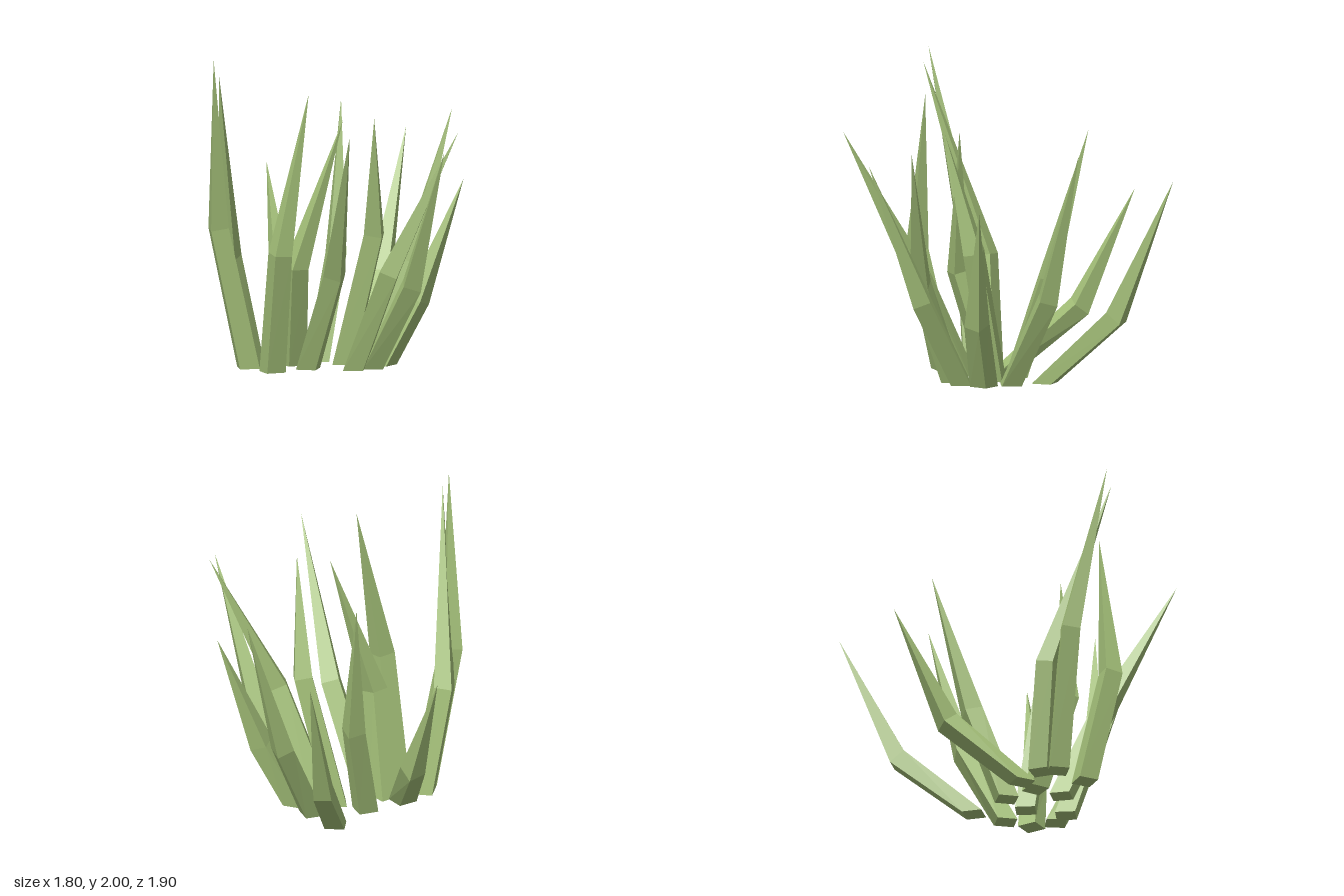
import * as THREE from 'three';

// each blade: base [x, z], bend [x, y, z], tip [x, y, z], turn in degrees
const BLADES = [
  [[-0.33, -0.18], [-0.12, 0.42, -0.60], [-0.07, 1.16, -0.95], 0],
  [[0.23, -0.25], [0.57, 0.45, -0.61], [0.86, 1.34, -0.89], 40],
  [[-0.06, -0.16], [0.13, 0.65, -0.31], [0.26, 1.60, -0.53], 13],
  [[0.25, -0.02], [0.57, 0.58, -0.16], [0.90, 1.54, -0.25], 14],
  [[0.25, 0.16], [0.44, 0.42, 0.27], [0.72, 1.18, 0.35], 56],
  [[0.00, 0.28], [0.13, 0.64, 0.54], [0.52, 1.54, 0.73], 30],
  [[0.13, 0.27], [0.27, 0.56, 0.58], [0.33, 1.45, 0.95], 20],
  [[-0.25, 0.13], [-0.20, 0.63, 0.43], [-0.30, 1.58, 0.91], 37],
  [[-0.51, 0.17], [-0.53, 0.77, 0.34], [-0.34, 1.78, 0.35], 0],
  [[-0.27, -0.06], [-0.33, 0.65, 0.13], [-0.05, 1.58, 0.22], -5],
  [[0.04, 0.02], [0.17, 0.84, 0.20], [0.10, 1.60, 0.37], 30],
  [[-0.58, -0.05], [-0.78, 0.90, -0.06], [-0.90, 2.00, 0.14], 15],
  [[-0.52, -0.14], [-0.66, 0.69, -0.16], [-0.88, 1.90, 0.18], 45],
];

const UP = new THREE.Vector3(0, 1, 0);

// four corners of a square section, tilted so its normal follows dir
function section(center, half, turn, dir) {
  const q = new THREE.Quaternion().setFromUnitVectors(UP, dir);
  return [0, 1, 2, 3].map((k) => {
    const a = turn + Math.PI / 4 + k * Math.PI / 2;
    const r = half * Math.SQRT2;
    return new THREE.Vector3(Math.cos(a) * r, 0, Math.sin(a) * r).applyQuaternion(q).add(center);
  });
}

// square stem up to the bend, then a four-sided spike
function bladeGeometry([b, m, t, degrees]) {
  const base = new THREE.Vector3(b[0], 0, b[1]);
  const bend = new THREE.Vector3(...m);
  const tip = new THREE.Vector3(...t);
  const turn = THREE.MathUtils.degToRad(degrees);
  const lower = bend.clone().sub(base).normalize();
  const upper = tip.clone().sub(bend).normalize();
  const dir = lower.multiplyScalar(0.65).addScaledVector(upper, 0.35).normalize();
  const low = section(base, 0.063, turn, UP);
  const mid = section(bend, 0.057, turn, dir);

  const points = [low[0], low[1], low[2], low[0], low[2], low[3]];
  for (let k = 0; k < 4; k++) {
    const n = (k + 1) % 4;
    points.push(low[n], low[k], mid[k], low[n], mid[k], mid[n]);
    points.push(mid[n], mid[k], tip);
  }
  const geometry = new THREE.BufferGeometry().setFromPoints(points);
  geometry.computeVertexNormals();
  return geometry;
}

export function createModel() {
  const group = new THREE.Group();
  group.name = 'grassTuft';
  const material = new THREE.MeshStandardMaterial({ color: 0xa3bf78, flatShading: true });
  BLADES.forEach((blade, i) => {
    const mesh = new THREE.Mesh(bladeGeometry(blade), material);
    mesh.name = `grassBlade${i + 1}`;
    group.add(mesh);
  });
  return group;
}
